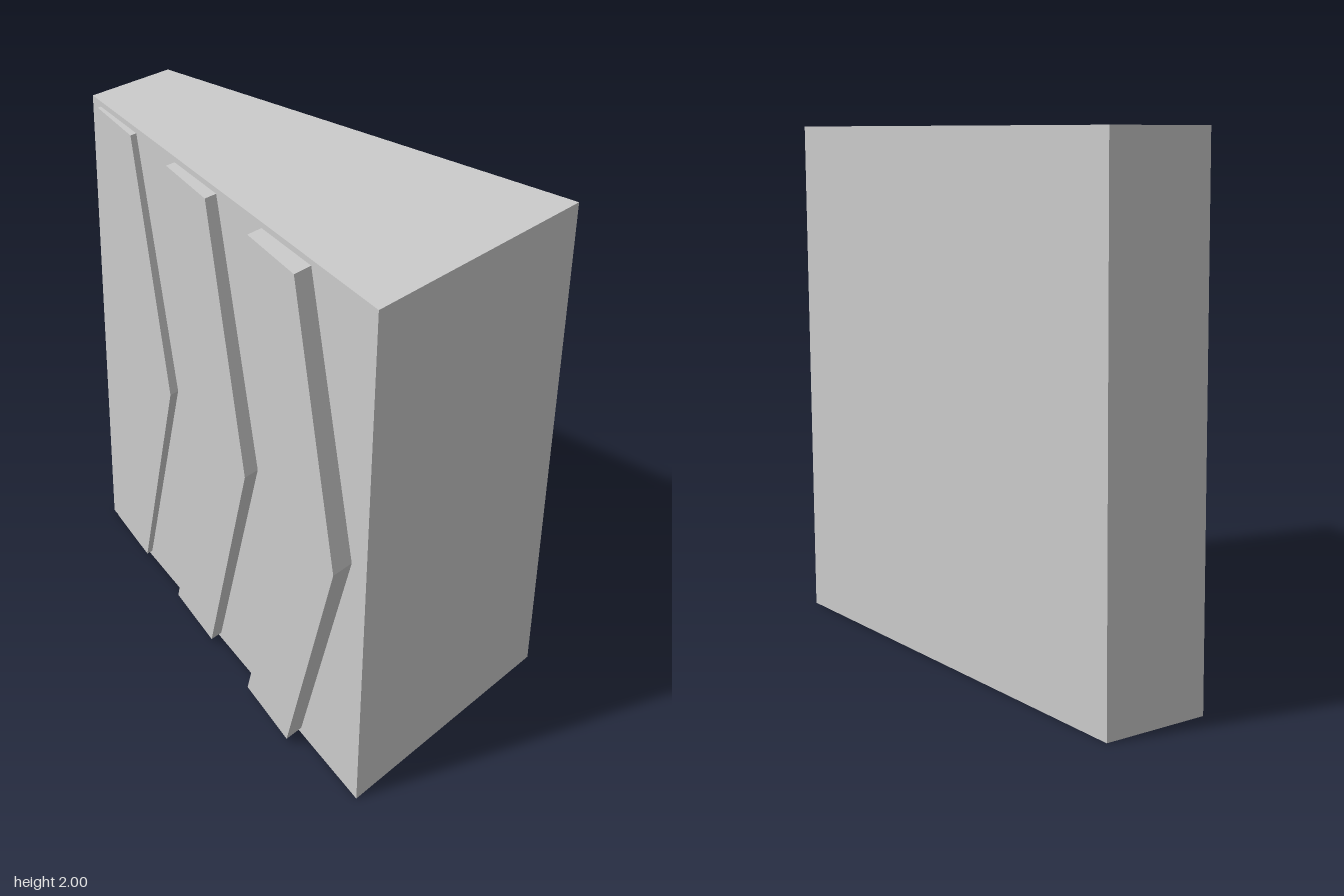
import * as THREE from 'three';

const bodyZ = (x) => 0.173 + 0.335 * x;    // slanted face of the wedge
const chevronZ = (x) => 0.23 + 0.378 * x;  // slightly steeper plane of the chevron faces

// Extrude an outline along z, then move its back and front onto two planes
function slantedPrism(name, points, back, front, material) {
  const shape = new THREE.Shape(points.map(([x, y]) => new THREE.Vector2(x, y)));
  const geometry = new THREE.ExtrudeGeometry(shape, { depth: 1, bevelEnabled: false });
  const pos = geometry.attributes.position;
  for (let i = 0; i < pos.count; i++) {
    const x = pos.getX(i);
    pos.setZ(i, pos.getZ(i) > 0.5 ? front(x) : back(x));
  }
  geometry.computeVertexNormals();
  const mesh = new THREE.Mesh(geometry, material);
  mesh.name = name;
  return mesh;
}

export function createModel() {
  const group = new THREE.Group();
  group.name = 'chevronWedge';
  const material = new THREE.MeshStandardMaterial({ color: 0xcccccc, flatShading: true });

  // Wedge block with a flat back and slanted front
  group.add(slantedPrism('wedgeBody', [[-1, 0], [1, 0], [1, 2], [-1, 2]],
    () => -0.582, bodyZ, material));

  // Three raised chevrons pointing to the thick end
  for (let i = 0; i < 3; i++) {
    const x = -0.928 + i * 0.62;
    const outline = [
      [x, 0.025], [x + 0.31, 0.025], [x + 0.6, 1],
      [x + 0.31, 1.978], [x, 1.978], [x + 0.29, 1],
    ];
    group.add(slantedPrism(`chevron${i + 1}`, outline,
      (px) => bodyZ(px) - 0.005, chevronZ, material));
  }
  return group;
}
